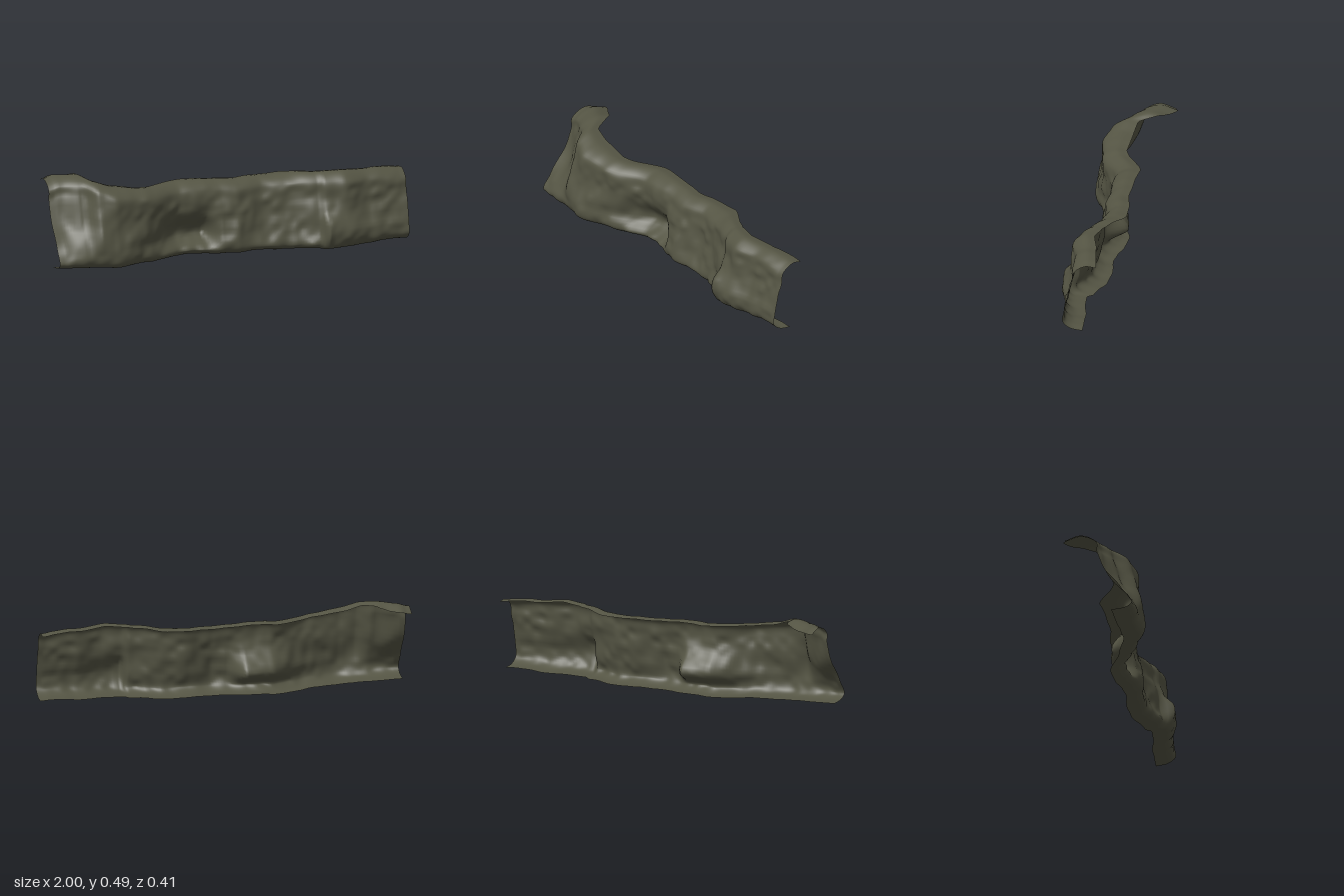
import * as THREE from 'three';

// Stations along the wall: x, top height, then depth (z) of
// lip edge, shoulder, middle, low wall and foot
const STATIONS = [
  [-0.99, 0.47, -0.19, -0.02, 0.05, 0.13, 0.16],
  [-0.94, 0.485, -0.21, -0.01, 0.05, 0.14, 0.165],
  [-0.83, 0.49, -0.15, 0.04, 0.10, 0.16, 0.17],
  [-0.76, 0.465, -0.02, 0.12, 0.17, 0.19, 0.18],
  [-0.67, 0.44, -0.01, 0.15, 0.175, 0.20, 0.185],
  [-0.50, 0.41, 0.0, 0.13, 0.13, 0.13, 0.13],
  [-0.27, 0.41, -0.11, 0.025, 0.01, -0.05, 0.025],
  [-0.12, 0.41, -0.10, 0.025, 0.01, -0.07, 0.03],
  [-0.04, 0.405, -0.10, 0.02, 0.05, 0.06, 0.06],
  [0.05, 0.40, -0.095, 0.03, 0.06, 0.08, 0.075],
  [0.20, 0.40, -0.12, 0.0, 0.01, 0.03, 0.05],
  [0.33, 0.408, -0.125, 0.02, 0.03, 0.05, 0.06],
  [0.50, 0.415, -0.04, 0.07, 0.10, 0.10, 0.12],
  [0.53, 0.417, -0.025, 0.09, 0.12, 0.19, 0.16],
  [0.64, 0.42, 0.0, 0.11, 0.13, 0.165, 0.15],
  [0.78, 0.41, -0.03, 0.085, 0.10, 0.125, 0.12],
  [0.99, 0.40, -0.06, 0.06, 0.088, 0.105, 0.105],
];

// Smoothed values between stations
function station(x) {
  let k = 0;
  while (k < STATIONS.length - 2 && x > STATIONS[k + 1][0]) k++;
  const a = STATIONS[k], b = STATIONS[k + 1];
  const t = (x - a[0]) / (b[0] - a[0]);
  const s = 0.5 * t + 0.5 * t * t * (3 - 2 * t);
  return a.map((v, i) => v + (b[i] - v) * s);
}

// Seeded lattice noise for the rough rock face
function hash(i, j) {
  const s = Math.sin(i * 127.1 + j * 311.7) * 43758.5453;
  return (s - Math.floor(s)) * 2 - 1;
}
function noise(x, y) {
  const i = Math.floor(x), j = Math.floor(y);
  const ease = (t) => t * t * (3 - 2 * t);
  const u = ease(x - i), v = ease(y - j);
  const lerp = THREE.MathUtils.lerp;
  return lerp(lerp(hash(i, j), hash(i + 1, j), u), lerp(hash(i, j + 1), hash(i + 1, j + 1), u), v);
}

// C-shaped section: lip curling back, rough front, foot tucked under
function section(x) {
  const [, top, lip, shoulder, middle, low, foot] = station(x);
  const drop = 0.004 + 0.021 * THREE.MathUtils.smoothstep(-lip, 0.12, 0.18);
  const bottom = 0.004 + 0.018 * x ** 4;
  const p = (y, z) => new THREE.Vector3(x, y, z);
  return new THREE.CatmullRomCurve3([
    p(top - drop, lip),
    p(top, (lip + shoulder) / 2),
    p(top - 0.04, shoulder - 0.002),
    p(top - 0.10, shoulder + 0.008),
    p(0.23, middle),
    p(0.12, low),
    p(bottom + 0.04, foot + 0.005),
    p(bottom + 0.012, foot - 0.025),
    p(bottom, foot * 0.8 - 0.07),
  ], false, 'centripetal');
}

function rockSheet(columns, rows) {
  const { smoothstep } = THREE.MathUtils;
  const positions = [], index = [];
  for (let i = 0; i <= columns; i++) {
    const x = -0.99 + (1.98 * i) / columns;
    const curve = section(x);
    const edge = i === 0 ? -0.01 : i === columns ? 0.01 : 0;
    for (let j = 0; j <= rows; j++) {
      const t = j / rows;
      const p = curve.getPoint(t);
      // Roughness fades out toward the smooth lip and the foot
      const rough = smoothstep(t, 0.15, 0.4) * (1 - 0.8 * smoothstep(t, 0.8, 1));
      const bumps = noise(x * 9, p.y * 11) * 0.009 + noise(x * 22 + 5, p.y * 24) * 0.007;
      positions.push(p.x + edge, Math.max(0, p.y + 0.004 * noise(x * 14, 3)), p.z + bumps * rough);
      if (i < columns && j < rows) {
        const a = i * (rows + 1) + j, b = a + rows + 1;
        index.push(a, a + 1, b, b, a + 1, b + 1);
      }
    }
  }
  const geometry = new THREE.BufferGeometry();
  geometry.setAttribute('position', new THREE.Float32BufferAttribute(positions, 3));
  geometry.setIndex(index);
  geometry.computeVertexNormals();
  return geometry;
}

export function createModel() {
  const group = new THREE.Group();
  group.name = 'rockWall';
  const stone = new THREE.MeshStandardMaterial({ color: 0x555544, side: THREE.DoubleSide });
  stone.name = 'dark olive stone';

  // One open sheet of rock, seen from both sides
  const face = new THREE.Mesh(rockSheet(150, 44), stone);
  face.name = 'cliffFace';
  group.add(face);
  return group;
}
